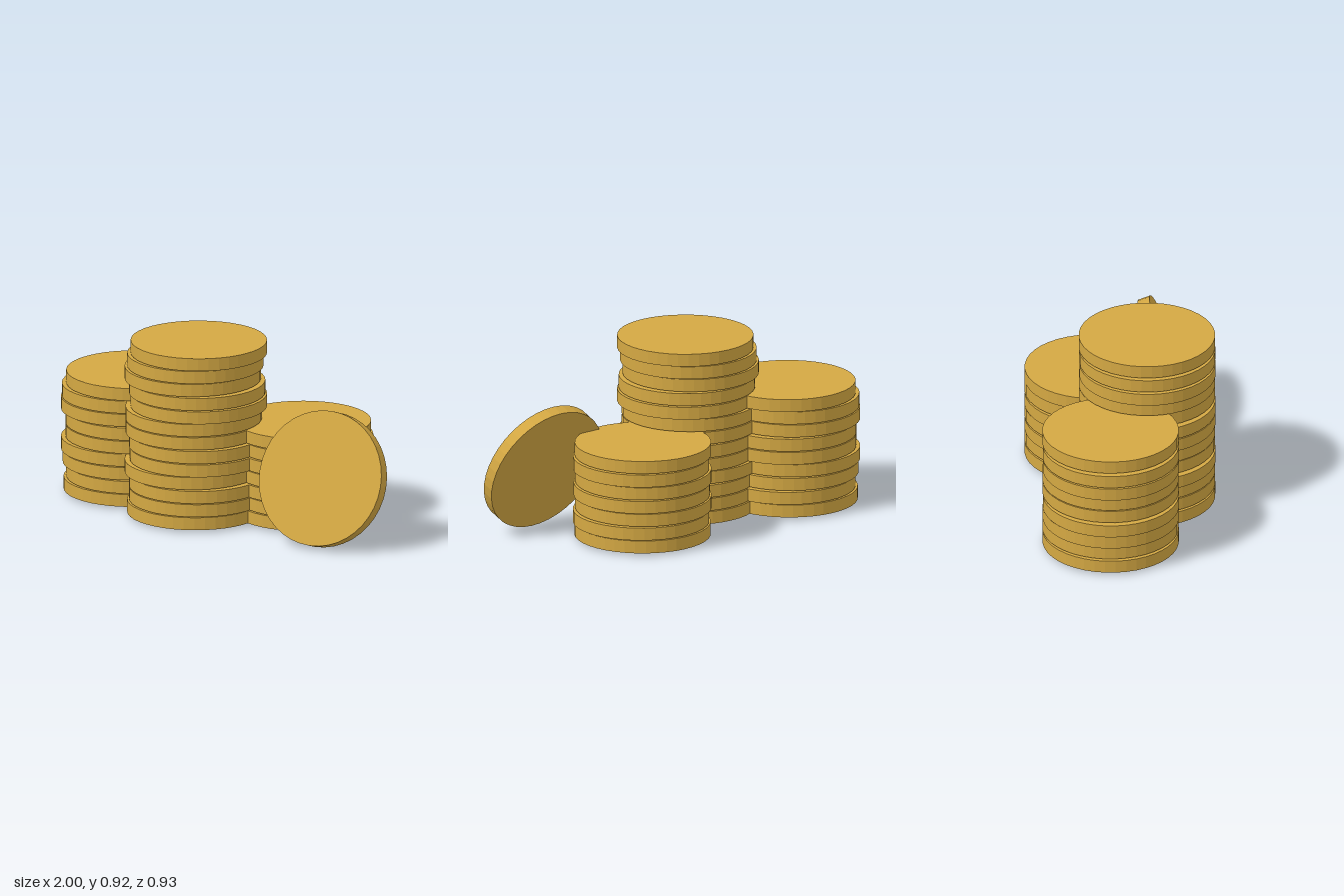
import * as THREE from 'three';

const RADIUS = 0.345, THICK = 0.065, PITCH = 0.07, BASE = 0.046;

// Each stack: shared depth, and the sideways position of every coin from the bottom up
const STACKS = [
  { name: 'leftStack', z: -0.1,
    xs: [-0.64, -0.625, -0.645, -0.655, -0.63, -0.63, -0.655, -0.65, -0.625] },
  { name: 'tallStack', z: 0.12,
    xs: [-0.16, -0.15, -0.15, -0.175, -0.145, -0.15, -0.17, -0.17, -0.14, -0.15, -0.175, -0.16, -0.14] },
  { name: 'backStack', z: -0.12,
    xs: [0.33, 0.34, 0.325, 0.335, 0.325, 0.34, 0.328] },
];

export function createModel() {
  const model = new THREE.Group();
  model.name = 'coinStacks';

  const gold = new THREE.MeshStandardMaterial({ color: 0xd4a843 });
  gold.name = 'gold';
  gold.flatShading = true;
  const disc = new THREE.CylinderGeometry(RADIUS, RADIUS, THICK, 40);

  function addCoin(parent, name, x, y, z) {
    const coin = new THREE.Mesh(disc, gold);
    coin.name = name;
    coin.position.set(x, y, z);
    parent.add(coin);
    return coin;
  }

  // Three uneven piles with thin gaps between the coins
  for (const { name, z, xs } of STACKS) {
    const stack = new THREE.Group();
    stack.name = name;
    xs.forEach((x, i) => addCoin(stack, `coin${i + 1}`, x, BASE + i * PITCH, z));
    model.add(stack);
  }

  // Single coin tilted back against the piles
  const leaning = addCoin(model, 'leaningCoin', 0.655, 0.336, 0.281);
  leaning.rotation.x = THREE.MathUtils.degToRad(70);

  return model;
}
